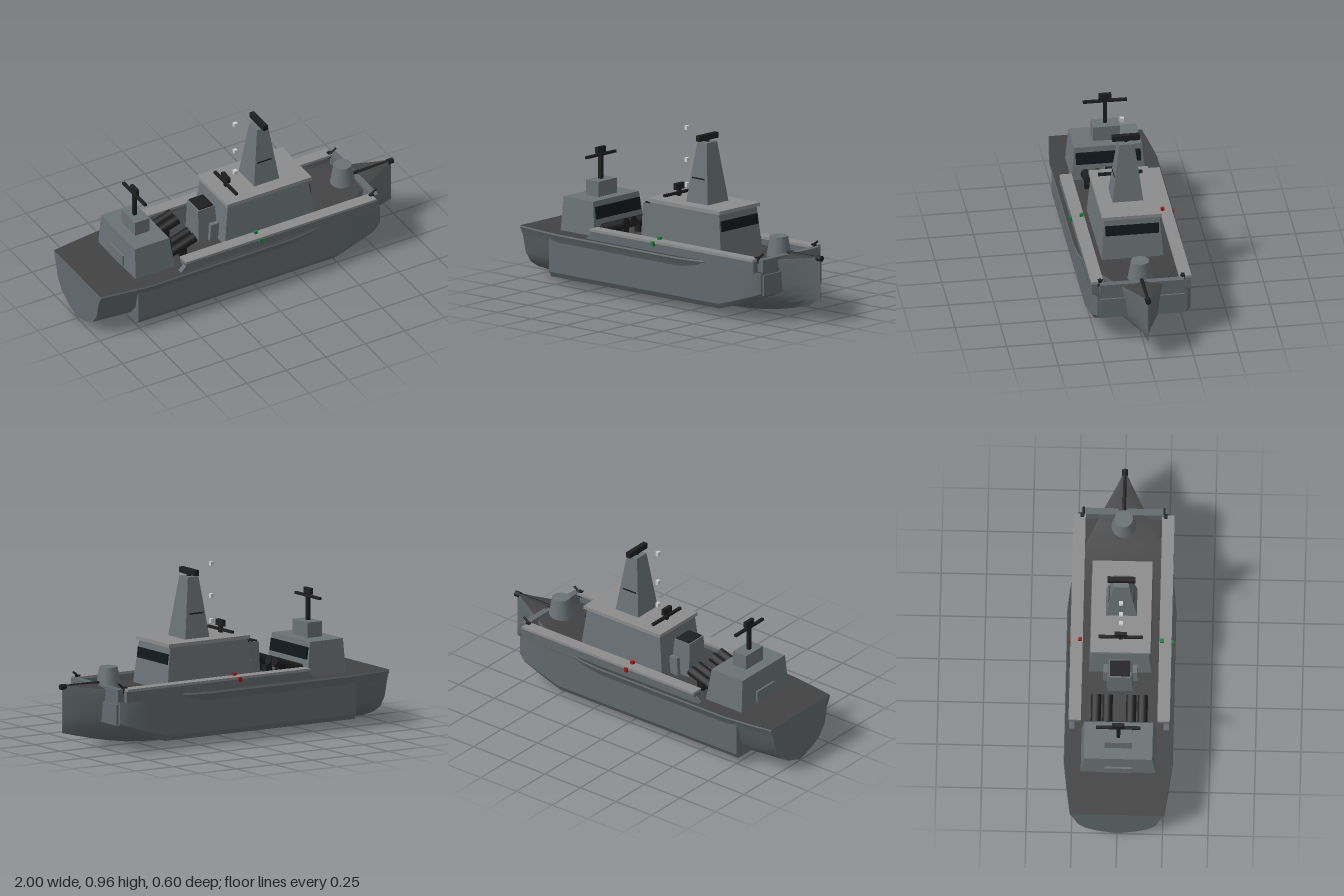
import * as THREE from 'three';
import { toCreasedNormals } from 'three/addons/utils/BufferGeometryUtils.js';

const mat = (color) => new THREE.MeshStandardMaterial({ color, side: THREE.DoubleSide });
const HULL = mat(0x62696c), HOUSE = mat(0x6b7275), DECK = mat(0x424242), ROOF = mat(0x8c8c8c);
const DARK = mat(0x1e1e1e), GLASS = mat(0x10181c), RED = mat(0xa01818), GREEN = mat(0x188038), LAMP = mat(0xcccccc);

export function createModel() {
  const ship = new THREE.Group();
  ship.name = 'patrolShip';

  const add = (name, geometry, material, x = 0, y = 0, z = 0, rz = 0) => {
    const m = new THREE.Mesh(geometry, material);
    m.name = name;
    m.position.set(x, y, z);
    m.rotation.z = rz;
    ship.add(m);
    return m;
  };
  // Box given by its limits along x, y and z
  const box = (name, material, [x0, x1], [y0, y1], [z0, z1]) =>
    add(name, new THREE.BoxGeometry(x1 - x0, y1 - y0, z1 - z0), material, (x0 + x1) / 2, (y0 + y1) / 2, (z0 + z1) / 2);
  // Box whose top is a different rectangle from its base
  const taper = (name, material, [y0, y1], [bx0, bx1, bz], [tx0, tx1, tz]) => {
    const g = new THREE.BoxGeometry(1, 1, 1).toNonIndexed(), p = g.attributes.position;
    for (let i = 0; i < p.count; i++) {
      const top = p.getY(i) > 0, right = p.getX(i) > 0, s = Math.sign(p.getZ(i));
      p.setXYZ(i, top ? (right ? tx1 : tx0) : (right ? bx1 : bx0), top ? y1 : y0, s * (top ? tz : bz));
    }
    g.computeVertexNormals();
    return add(name, g, material);
  };
  const cylX = (name, material, r, length, x, y, z, tilt = 0, sides = 12) =>
    add(name, new THREE.CylinderGeometry(r, r, length, sides), material, x, y, z, tilt - Math.PI / 2);

  // Shell lofted from mirrored cross-sections, plus its deck.
  // station: [x, bottom, halfWidth, deckY, camber]; section: [width share, height share]
  const loft = (name, stations, section) => {
    const rings = stations.map(([x, k, w, d]) => {
      const half = section.map(([a, b]) => new THREE.Vector3(x, k + (d - k) * b, w * a));
      const other = half.slice(section[0][0] === 0 ? 1 : 0).reverse().map((v) => new THREE.Vector3(v.x, v.y, -v.z));
      return [...other, ...half];
    });
    const shell = [], deck = [], n = rings[0].length, last = rings.length - 1;
    const quad = (out, a, b, c, d) => out.push(a, b, c, a, c, d);
    const middle = ([x, , , d, c]) => new THREE.Vector3(x, d + c, 0);
    for (let s = 0; s < last; s++) {
      const A = rings[s], B = rings[s + 1], ma = middle(stations[s]), mb = middle(stations[s + 1]);
      for (let i = 0; i < n - 1; i++) quad(shell, A[i], B[i], B[i + 1], A[i + 1]);
      quad(deck, A[0], ma, mb, B[0]);
      quad(deck, ma, A[n - 1], B[n - 1], mb);
    }
    for (let i = 1; i < n - 1; i++) {
      shell.push(rings[0][0], rings[0][i], rings[0][i + 1]);
      shell.push(rings[last][0], rings[last][i + 1], rings[last][i]);
    }
    const geo = (pts) => toCreasedNormals(new THREE.BufferGeometry().setFromPoints(pts), 0.5);
    add(name, geo(shell), HULL);
    add(name + 'Deck', geo(deck), DECK);
  };

  // Main hull with round bilge and rising bow
  loft('hull', [
    [-1, 0.005, 0.26, 0.298, 0], [-0.85, 0.002, 0.282, 0.298, 0], [-0.7, 0, 0.3, 0.298, 0], [0.2, 0, 0.3, 0.298, 0],
    [0.32, 0, 0.288, 0.3, 0], [0.45, 0.003, 0.258, 0.304, 0], [0.57, 0.013, 0.21, 0.315, 0.004],
    [0.68, 0.03, 0.158, 0.328, 0.012], [0.78, 0.05, 0.108, 0.34, 0.02], [0.9, 0.078, 0.045, 0.353, 0.01], [0.985, 0.1, 0.003, 0.365, 0],
  ], [[0, 0], [0.42, 0.13], [0.66, 0.26], [0.82, 0.46], [0.9, 0.78], [1, 0.97], [0.99, 1]]);

  // Slab-sided casing around the hull, cut away under the bow
  loft('sideCasing', [
    [-0.77, 0.045, 0.277, 0.285, 0], [0.48, 0.045, 0.277, 0.285, 0], [0.6, 0.085, 0.277, 0.285, 0],
    [0.72, 0.128, 0.275, 0.285, 0], [0.77, 0.15, 0.25, 0.285, 0],
  ], [[0, 0], [0.94, 0], [1, 0.12], [1, 1]]);

  // Bulwarks, rails, navigation lights and bow guns, mirrored
  for (const s of [1, -1]) {
    const span = (a, b) => (s > 0 ? [a, b] : [-b, -a]);
    const bulwark = new THREE.Shape([[-0.52, 0.28], [0.74, 0.28], [0.74, 0.346], [-0.45, 0.346]].map((p) => new THREE.Vector2(...p)));
    add('bulwark', new THREE.ExtrudeGeometry(bulwark, { depth: 0.03, bevelEnabled: false }), HULL, 0, 0, s > 0 ? 0.245 : -0.275);
    box('rail', ROOF, [-0.47, 0.735], [0.344, 0.358], span(0.21, 0.278));
    box('railEnd', HULL, [-0.47, -0.44], [0.322, 0.346], span(0.215, 0.275));
    box('sideLight', s > 0 ? GREEN : RED, [-0.01, 0.01], [0.33, 0.355], span(0.276, 0.289));
    box('railLight', s > 0 ? GREEN : RED, [-0.01, 0.01], [0.358, 0.372], span(0.215, 0.235));
    box('bowGunMount', DARK, [0.715, 0.74], [0.33, 0.366], span(0.222, 0.24));
    add('bowGun', new THREE.CylinderGeometry(0.006, 0.006, 0.075, 8), DARK, 0.735, 0.363, s * 0.222, -0.9);
    box('bowPanel', HULL, [0.72, 0.782], [0.155, 0.27], span(0.08, 0.235));
  }
  box('bowWall', HULL, [0.735, 0.772], [0.26, 0.354], [-0.235, 0.235]);
  cylX('bowSpar', DARK, 0.01, 0.24, 0.865, 0.358, 0);
  cylX('bowFitting', DARK, 0.016, 0.035, 0.98, 0.357, 0);

  // Gun mount on the foredeck
  add('foreTurret', new THREE.CylinderGeometry(0.05, 0.07, 0.115, 20), HOUSE, 0.68, 0.385, 0);

  // Bridge
  taper('bridge', HOUSE, [0.29, 0.545], [-0.165, 0.405, 0.172], [-0.135, 0.375, 0.153]);
  box('bridgeRoof', ROOF, [-0.145, 0.39], [0.54, 0.56], [-0.165, 0.165]);
  add('bridgeWindow', new THREE.BoxGeometry(0.018, 0.058, 0.298), GLASS, 0.382, 0.472, 0, 0.117);

  // Main mast with radar
  taper('mast', HOUSE, [0.555, 0.895], [0.07, 0.23, 0.086], [0.114, 0.184, 0.042]);
  box('mastBand', DARK, [0.1, 0.19], [0.692, 0.7], [-0.07, 0.07]);
  box('radarPost', DARK, [0.14, 0.158], [0.89, 0.91], [-0.009, 0.009]);
  box('mastRadar', DARK, [0.135, 0.162], [0.905, 0.937], [-0.077, 0.077]);

  // Roof radar and aft radar share one form
  const radar = (x, y0, barY, top) => {
    box('radarPole', DARK, [x - 0.01, x + 0.01], [y0, top], [-0.01, 0.01]);
    box('radarBar', DARK, [x - 0.008, x + 0.008], [barY - 0.007, barY + 0.007], [-0.122, 0.122]);
    box('radarHead', DARK, [x - 0.01, x + 0.01], [top - 0.035, top], [-0.034, 0.034]);
  };
  radar(-0.06, 0.555, 0.577, 0.632);
  radar(-0.638, 0.56, 0.707, 0.752);

  // Funnel with side vents
  taper('funnel', HOUSE, [0.29, 0.5], [-0.275, -0.15, 0.072], [-0.27, -0.165, 0.062]);
  box('funnelMouth', DARK, [-0.262, -0.172], [0.495, 0.506], [-0.056, 0.056]);
  for (const s of [1, -1]) {
    const vent = taper('funnelVent', HOUSE, [0.29, 0.4], [-0.215, -0.155, 0.015], [-0.205, -0.155, 0.013]);
    vent.position.z = s * 0.08;
  }

  // Aft deckhouse
  taper('aftHouse', HOUSE, [0.29, 0.487], [-0.75, -0.498, 0.206], [-0.742, -0.525, 0.188]);
  add('aftWindow', new THREE.BoxGeometry(0.016, 0.068, 0.36), GLASS, -0.514, 0.423, 0, 0.137);
  box('aftDoor', HOUSE, [-0.757, -0.74], [0.305, 0.375], [-0.075, 0.075]);
  box('aftPedestal', HOUSE, [-0.678, -0.585], [0.485, 0.572], [-0.075, 0.075]);

  // Launch tubes angled upward behind the funnel
  for (const z of [-0.128, -0.065, 0.065, 0.128]) {
    cylX('launchTube', DARK, 0.028, 0.18, -0.415, 0.36, z, 0.32);
    box('tubeCradle', DARK, [-0.43, -0.39], [0.295, 0.345], [z - 0.02, z + 0.02]);
  }

  // Signal lamps on the centreline
  for (const y of [0.63, 0.77, 0.95]) box('signalLamp', LAMP, [-0.01, 0.01], [y - 0.012, y + 0.012], [-0.011, 0.011]);

  return ship;
}
